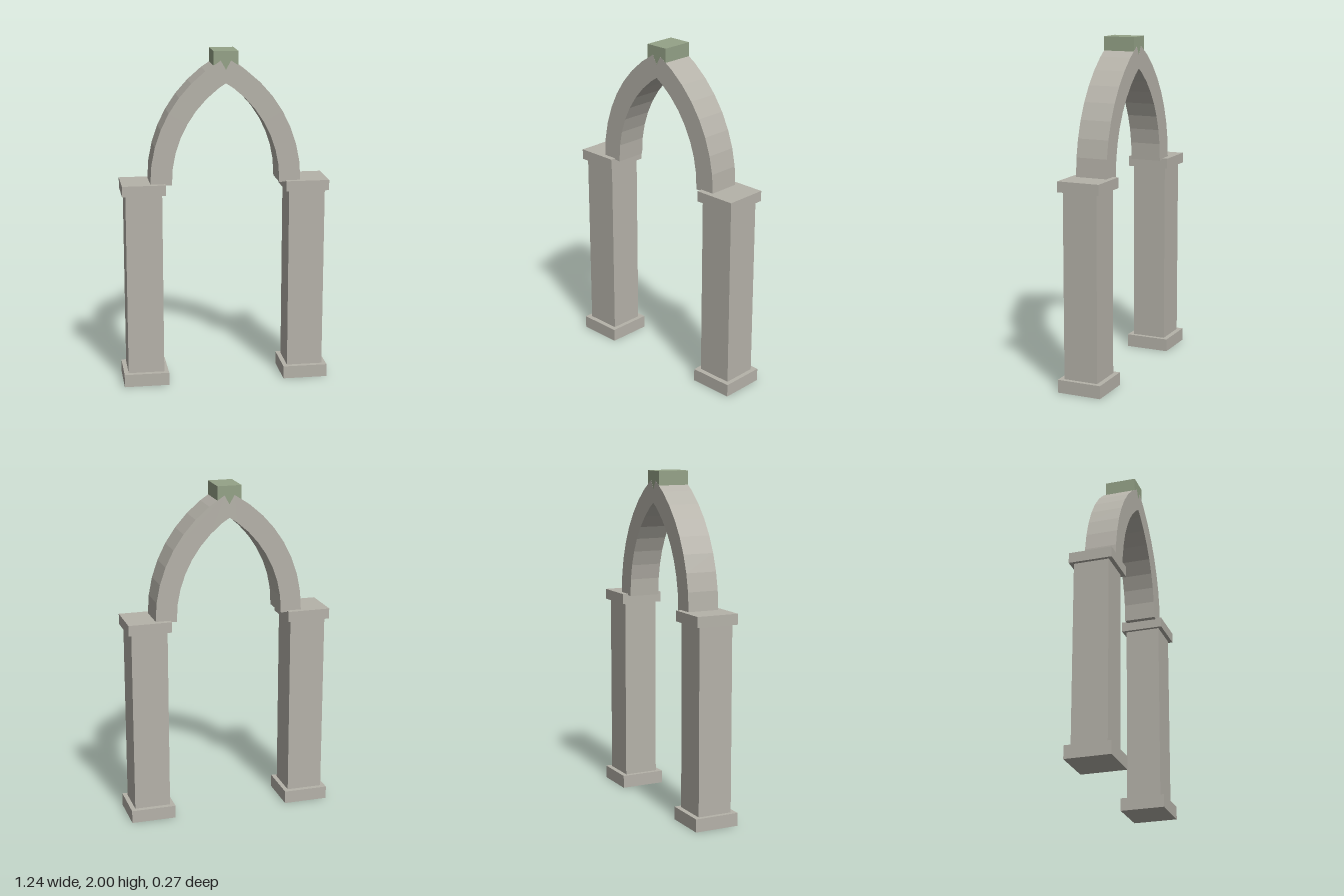
import * as THREE from 'three';

export function createModel() {
  const stone = new THREE.MeshStandardMaterial({ color: 0xb5b2a9 });
  stone.name = 'grey stone';
  const moss = new THREE.MeshStandardMaterial({ color: 0x94a287 });
  moss.name = 'mossy green stone';

  const model = new THREE.Group();
  model.name = 'archway';

  // Box standing between two heights
  const block = (name, x, w, d, y0, y1, material) => {
    const mesh = new THREE.Mesh(new THREE.BoxGeometry(w, y1 - y0, d), material);
    mesh.position.set(x, (y0 + y1) / 2, 0);
    mesh.name = name;
    return mesh;
  };

  // Half of the pointed arch: a faceted ring segment cut square at both ends
  const segments = 8, cx = 0.372, cy = 1.235, end = THREE.MathUtils.degToRad(60.5);
  const arc = (r) => Array.from({ length: segments + 1 }, (_, i) => {
    const a = (end * i) / segments;
    return new THREE.Vector2(cx - r * Math.cos(a), cy + r * Math.sin(a));
  });
  const outer = arc(0.816), inner = arc(0.69);
  outer[0].y = 1.23; // foot is slightly slanted
  inner[0].y = 1.222;
  const archGeometry = new THREE.ExtrudeGeometry(
    new THREE.Shape([...outer, ...inner.reverse()]),
    { depth: 0.19, bevelEnabled: false }
  ).translate(0, 0, -0.095);

  for (const [label, s] of [['left', 1], ['right', -1]]) {
    const pillar = new THREE.Group();
    pillar.name = label + 'Pillar';
    pillar.add(
      block('base', s * 0.484, 0.268, 0.268, 0, 0.077, stone),
      block('shaft', s * 0.484, 0.215, 0.208, 0.077, 1.17, stone),
      block('capital', s * 0.484, 0.256, 0.256, 1.17, 1.232, stone)
    );
    const half = new THREE.Mesh(archGeometry, stone);
    half.name = label + 'ArchHalf';
    if (s > 0) half.rotation.y = Math.PI;
    model.add(pillar, half);
  }

  // Keystone at the crown, set a hair behind the arch faces
  model.add(block('keystone', 0, 0.143, 0.189, 1.89, 2, moss));
  return model;
}
